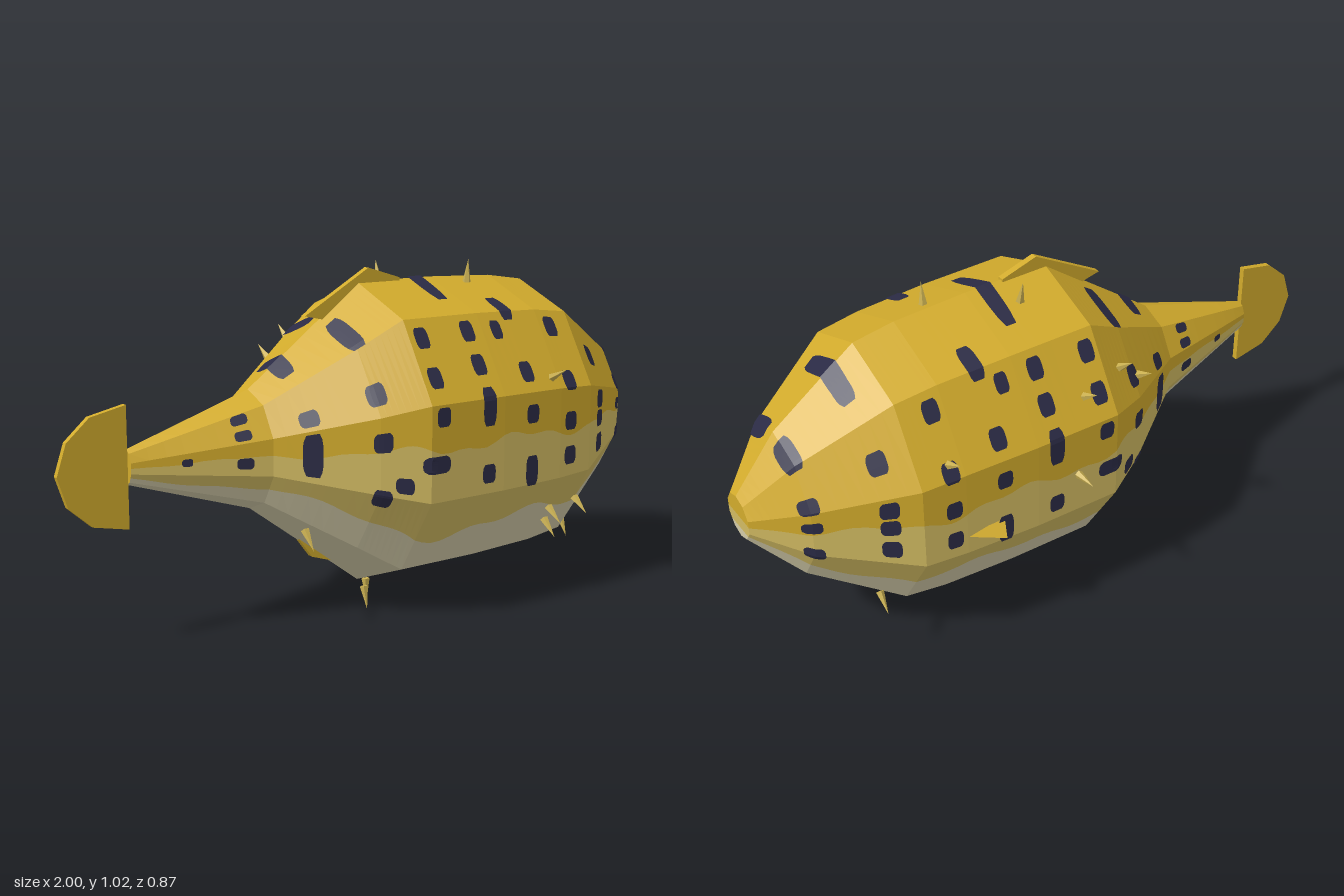
import * as THREE from 'three';

const mat = (name, color) => Object.assign(new THREE.MeshStandardMaterial({ color }), { name });
const CY = 0.515, CZ = 0.025;

// body sections from tail root to nose: x, vertical radius, sideways radius
const SECTIONS = [
  [-0.79, 0.05, 0.03], [-0.4, 0.175, 0.142], [-0.15, 0.36, 0.32], [-0.02, 0.457, 0.389],
  [0.25, 0.455, 0.385], [0.48, 0.445, 0.372], [0.61, 0.425, 0.36], [0.87, 0.235, 0.198], [1, 0.071, 0.066],
];

function radii(x) {
  let i = 0;
  while (i < SECTIONS.length - 2 && x > SECTIONS[i + 1][0]) i++;
  const a = SECTIONS[i], b = SECTIONS[i + 1], f = (x - a[0]) / (b[0] - a[0]);
  return [a[1] + (b[1] - a[1]) * f, a[2] + (b[2] - a[2]) * f];
}

// unit decagon: t = 0 at the top, 5 at the bottom, negative t on the right side
function ring(t) {
  const i = Math.floor(t), f = t - i, a = i * Math.PI / 5, b = a + Math.PI / 5;
  return [Math.cos(a) * (1 - f) + Math.cos(b) * f, Math.sin(a) * (1 - f) + Math.sin(b) * f];
}

function surface(x, t, lift = 0) {
  const [ry, rz] = radii(x), [c, s] = ring(t);
  return [x, CY + (ry + lift) * c, CZ + (rz + lift) * s];
}

// t at a given height on a section
function tAt(x, y) {
  const v = THREE.MathUtils.clamp((y - CY) / radii(x)[0], -0.999, 0.999);
  let i = 0;
  while (ring(i + 1)[0] > v) i++;
  const a = ring(i)[0], b = ring(i + 1)[0];
  return i + (v - a) / (b - a);
}

// flat-shaded grid of points f(u, v), collected into the array out
function patch(out, us, nv, f) {
  for (let i = 0; i < us.length - 1; i++) {
    for (let j = 0; j < nv; j++) {
      const a = f(us[i], j / nv), b = f(us[i], (j + 1) / nv);
      const c = f(us[i + 1], (j + 1) / nv), d = f(us[i + 1], j / nv);
      out.push(...a, ...b, ...c, ...a, ...c, ...d);
    }
  }
}

function meshFrom(points, material, name) {
  const g = new THREE.BufferGeometry();
  g.setAttribute('position', new THREE.Float32BufferAttribute(points, 3));
  g.computeVertexNormals();
  const m = new THREE.Mesh(g, material);
  m.name = name;
  return m;
}

// thin fin outlined in x, y
function fin(points, depth, material, name) {
  const shape = new THREE.Shape(points.map(p => new THREE.Vector2(...p)));
  const g = new THREE.ExtrudeGeometry(shape, { depth, bevelEnabled: false });
  const m = new THREE.Mesh(g, material);
  m.position.z = CZ - depth / 2;
  m.name = name;
  return m;
}

export function createModel() {
  const model = new THREE.Group();
  model.name = 'spinyFish';
  const gold = mat('gold', 0xd2ab2c);
  const tan = mat('pale gold', 0xd2bb62);
  const cream = mat('cream', 0xd3cba8);
  const navy = mat('navy', 0x2b2b45);
  const horn = mat('spine', 0xcbb152);

  // colour bands with wavy borders
  const wave1 = x => 2.46 + 0.05 * Math.sin(15 * x) + 0.03 * Math.sin(37 * x + 1);
  const wave2 = x => 3.5 + 0.1 * Math.sin(9 * x + 1) + 0.05 * Math.sin(26 * x);
  const k = n => () => n;
  const bands = [
    ['back', gold, [k(0), k(1), k(2), wave1]],
    ['flank', tan, [wave1, k(3), wave2]],
    ['belly', cream, [wave2, k(4), k(5)]],
  ];
  const xs = [];
  for (let i = 0; i < SECTIONS.length - 1; i++) {
    for (let j = 0; j < 8; j++) xs.push(THREE.MathUtils.lerp(SECTIONS[i][0], SECTIONS[i + 1][0], j / 8));
  }
  xs.push(1);
  for (const [name, material, edges] of bands) {
    const pts = [];
    for (let e = 0; e < edges.length - 1; e++) {
      for (const side of [1, -1]) {
        const [lo, hi] = side > 0 ? [edges[e], edges[e + 1]] : [edges[e + 1], edges[e]];
        patch(pts, xs, 1, (x, v) => surface(x, side * (lo(x) * (1 - v) + hi(x) * v)));
      }
    }
    model.add(meshFrom(pts, material, name));
  }

  // flat mouth and tail root caps
  const cap = (x, stops, material, name) => {
    const pts = [];
    for (let i = 0; i < stops.length - 1; i++) {
      patch(pts, x > 0 ? [0, 1] : [1, 0], 1, (u, v) => {
        const p = surface(x, THREE.MathUtils.lerp(stops[i], stops[i + 1], v));
        return [x, p[1], CZ + (p[2] - CZ) * (1 - 2 * u)];
      });
    }
    model.add(meshFrom(pts, material, name));
  };
  cap(1, [0, 1, 2, 2.46], gold, 'upperLip');
  cap(1, [2.46, 3, 3.5], tan, 'mouth');
  cap(1, [3.5, 4, 5], cream, 'lowerLip');
  cap(-0.79, [0, 1, 2, 3, 4, 5], gold, 'tailRoot');

  // spots: column x, then centre heights, with an optional spot height and width
  const columns = [
    [-0.64, [0.52, 0.02, 0.03]],
    [-0.48, [0.62, 0.025], [0.58, 0.025], [0.505, 0.03]],
    [-0.31, [0.755, 0.045], [0.62, 0.04], [0.52, 0.12]],
    [-0.145, [0.835], [0.685], [0.555], [0.395, 0.05]],
    [-0.09, [0.43, 0.045]],
    [0, [0.485, 0.05, 0.09]],
    [0.02, [0.83], [0.725], [0.62]],
    [0.19, [0.835], [0.745], [0.63, 0.11], [0.435]],
    [0.3, [0.83, 0.05, 0.04]],
    [0.36, [0.88], [0.71], [0.59], [0.42, 0.09]],
    [0.52, [0.82], [0.67], [0.55], [0.445]],
    [0.69, [0.86, 0.045], [0.715], [0.59], [0.53, 0.05], [0.455]],
    [0.87, [0.715, 0.045], [0.605, 0.04], [0.54, 0.035], [0.45, 0.04]],
  ];
  const spots = [];
  const spot = (x, w, t0, t1) => patch(spots, [-1, -0.5, 0, 0.5, 1], 8, (u, v) => {
    const half = w / 2 * (1 - 0.35 * Math.abs(2 * v - 1) ** 4);
    return surface(x + u * half, THREE.MathUtils.lerp(t0, t1, v), 0.005);
  });
  for (const [x, ...rows] of columns) {
    for (const [y, h = 0.055, w = 0.048] of rows) {
      const a = tAt(x, y + h / 2), b = tAt(x, y - h / 2);
      spot(x, w, a, b);
      spot(x, w, -b, -a);
    }
  }
  // bars across the back
  for (const [x, t] of [[-0.31, 0.62], [0.19, 0.63], [0.69, 0.58]]) spot(x, 0.05, -t, t);
  model.add(meshFrom(spots, navy, 'spots'));

  // fins
  model.add(fin([[-0.79, 0.34], [-0.79, 0.69], [-0.9, 0.667], [-0.97, 0.605], [-1, 0.515],
    [-0.97, 0.425], [-0.9, 0.363]], 0.018, gold, 'tailFin'));
  model.add(fin([[-0.21, 0.885], [-0.1, 0.86], [0.13, 0.95], [0.13, 0.976], [0.015, 1.012]], 0.02, gold, 'dorsalFin'));
  model.add(fin([[-0.25, 0.24], [-0.19, 0.16], [-0.1, 0.13], [-0.1, 0.2]], 0.02, gold, 'analFin'));

  // small fin on the right flank
  const A = [0.48, 0.44, -0.335], B = [0.36, 0.455, -0.33], C = [0.36, 0.4, -0.33], D = [0.38, 0.415, -0.375];
  model.add(meshFrom([A, C, D, A, D, B, B, D, C, A, B, C].flat(), gold, 'sideFin'));

  // spines: tip x, y, z, pointing away from the body axis
  const tips = [
    [0.13, 1.02, -0.09], [0.36, 1.02, 0.075], [0.445, 0.72, 0.435], [0.13, 0.525, -0.435],
    [-0.14, 0.75, -0.34], [-0.07, 0.81, -0.335], [0.075, 0.78, -0.37], [0.52, 0.73, -0.37],
    [0.47, 0.24, 0.4], [0.59, 0.25, 0.385], [0.475, 0.19, 0.37], [0.66, 0.13, 0.22], [-0.325, 0.25, 0.25],
    [-0.07, 0.005, 0.15], [-0.015, 0, 0.07], [0.7, 0.19, -0.24],
  ];
  const cone = new THREE.ConeGeometry(0.013, 0.07, 5).translate(0, -0.035, 0).toNonIndexed();
  cone.computeVertexNormals();
  const up = new THREE.Vector3(0, 1, 0);
  for (const [x, y, z] of tips) {
    const spine = new THREE.Mesh(cone, horn);
    spine.name = 'spine';
    spine.position.set(x, y, z);
    spine.quaternion.setFromUnitVectors(up, new THREE.Vector3(0, y - CY, z - CZ).normalize());
    model.add(spine);
  }
  return model;
}
